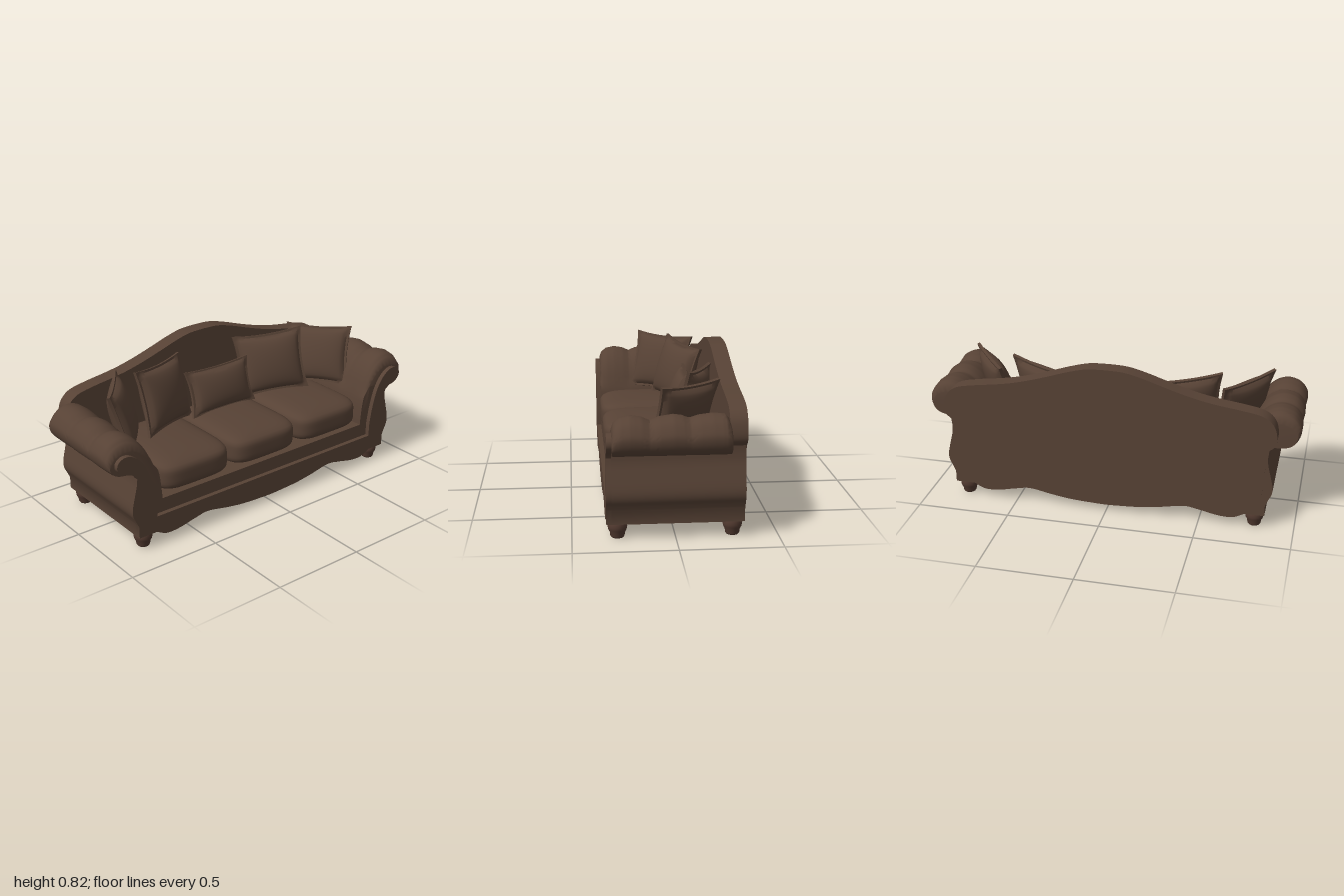
import * as THREE from 'three';
import { mergeVertices, toCreasedNormals } from 'three/addons/utils/BufferGeometryUtils.js';

const fabric = new THREE.MeshStandardMaterial({ color: 0x574235 });
fabric.name = 'brown fabric';
const wood = new THREE.MeshStandardMaterial({ color: 0x523a30 });
wood.name = 'dark wood';

const vec = (pts) => pts.map(([x, y]) => new THREE.Vector2(x, y));
const smooth = (pts, n) => new THREE.SplineCurve(vec(pts)).getPoints(n);

// Closed shape from the right half of a symmetric outline, bottom centre to top centre
function mirroredShape(half) {
  const left = half.slice(1, -1).reverse().map((p) => new THREE.Vector2(-p.x, p.y));
  return new THREE.Shape([...half, ...left]);
}

function extrude(shape, z0, z1, steps = 1) {
  const g = new THREE.ExtrudeGeometry(shape, { depth: z1 - z0, steps, bevelEnabled: false });
  return g.translate(0, 0, z0);
}

function add(parent, name, geometry, material = fabric) {
  const mesh = new THREE.Mesh(geometry, material);
  mesh.name = name;
  parent.add(mesh);
  return mesh;
}

// Move every vertex of a box by a rule on its -1..1 coordinates
function shapedBox(nx, ny, nz, rule) {
  let g = new THREE.BoxGeometry(2, 2, 2, nx, ny, nz);
  g.deleteAttribute('uv');
  g.deleteAttribute('normal');
  g = mergeVertices(g);
  const p = g.attributes.position;
  for (let i = 0; i < p.count; i++) p.setXYZ(i, ...rule(p.getX(i), p.getY(i), p.getZ(i)));
  g.computeVertexNormals();
  return g;
}

// Plump seat cushion with a softly domed top
function seatCushionGeometry(w, h, d) {
  return shapedBox(20, 10, 20, (u, v, t) => {
    const n = 5;
    const m = Math.max(Math.abs(u), Math.abs(v), Math.abs(t));
    const s = m / Math.pow(Math.abs(u) ** n + Math.abs(v) ** n + Math.abs(t) ** n, 1 / n);
    const dome = v > 0 ? 0.012 * (1 - u * u) * (1 - t * t) : 0;
    return [u * s * w / 2, v * s * h / 2 + dome, t * s * d / 2];
  });
}

// Throw pillow: puffed middle, flat flange, corners drawn outwards
function pillowGeometry(w, h, t) {
  const puff = (a) => Math.max(0, 1 - (a / (11 / 12)) ** 2);
  const g = shapedBox(24, 24, 1, (u, v, s) => [
    (w / 2) * u * (1 - 0.09 * (1 - v * v) * u * u),
    (h / 2) * v * (1 - 0.09 * (1 - u * u) * v * v),
    s * (0.008 + t * Math.pow(puff(u) * puff(v), 0.45)),
  ]);
  return toCreasedNormals(g, 0.9);
}

export function createModel() {
  const sofa = new THREE.Group();
  sofa.name = 'sofa';

  // Shared scalloped lower edge and bulging sides
  const scallop = smooth([[0, 0.036], [0.1, 0.04], [0.2, 0.047], [0.3, 0.062], [0.42, 0.084], [0.5, 0.073],
    [0.6, 0.052], [0.68, 0.05], [0.74, 0.078]], 40);
  const side = [...vec([[0.845, 0.078]]), ...smooth([[0.845, 0.14], [0.86, 0.175], [0.876, 0.21], [0.878, 0.25],
    [0.865, 0.31], [0.85, 0.37], [0.845, 0.41]], 20)];

  // Base shell with low arm walls
  const shell = mirroredShape([...scallop, ...side,
    ...vec([[0.85, 0.46], [0.75, 0.46], [0.72, 0.24], [0, 0.24]])]);
  add(sofa, 'baseShell', toCreasedNormals(extrude(shell, -0.333, 0.31), 0.5));

  // Front frame: rail joined to two scrolled arm fronts
  const scroll = smooth([[0.852, 0.425], [0.88, 0.445], [0.925, 0.458], [0.953, 0.49], [0.948, 0.525],
    [0.915, 0.546], [0.87, 0.54], [0.82, 0.5], [0.78, 0.43], [0.752, 0.33], [0.737, 0.24]], 36);
  const frame = mirroredShape([...scallop, ...side, ...scroll, ...vec([[0.735, 0.165], [0, 0.165]])]);
  add(sofa, 'frontFrame', toCreasedNormals(extrude(frame, 0.31, 0.335), 0.5));

  // Camelback panel with rounded shoulders
  const crest = smooth([[0.85, 0.46], [0.88, 0.49], [0.884, 0.54], [0.865, 0.6], [0.81, 0.645], [0.7, 0.668],
    [0.6, 0.682], [0.5, 0.7], [0.4, 0.726], [0.3, 0.757], [0.2, 0.79], [0.1, 0.815], [0, 0.82]], 56);
  const back = mirroredShape([...vec([[0, 0.12], [0.82, 0.12], [0.84, 0.44]]), ...crest]);
  add(sofa, 'backrest', toCreasedNormals(extrude(back, -0.335, -0.25), 0.5));

  // Rolled arm padding, gathered into three bulges along its length
  const armShape = new THREE.Shape([...vec([[0.82, 0.2], [0.686, 0.2]]),
    ...smooth([[0.686, 0.26], [0.7, 0.38], [0.735, 0.49], [0.78, 0.567], [0.835, 0.615], [0.895, 0.63],
      [0.955, 0.61], [0.99, 0.567], [1, 0.53], [0.987, 0.483], [0.95, 0.448], [0.9, 0.437], [0.83, 0.44]], 48)]);
  const tops = [[-0.25, 0.575], [-0.242, 0.605], [-0.22, 0.626], [-0.16, 0.63], [-0.1, 0.622], [-0.055, 0.608],
    [-0.02, 0.622], [0.02, 0.628], [0.09, 0.617], [0.13, 0.6], [0.17, 0.618], [0.22, 0.626], [0.27, 0.616],
    [0.3, 0.592], [0.31, 0.56]];
  const topAt = (z) => {
    let i = 1;
    while (i < tops.length - 1 && z > tops[i][0]) i++;
    const [a, b] = [tops[i - 1], tops[i]];
    return THREE.MathUtils.mapLinear(THREE.MathUtils.clamp(z, a[0], b[0]), a[0], b[0], a[1], b[1]);
  };
  const armGeometry = (s) => {
    const g = extrude(armShape, -0.25, 0.31, 56);
    const p = g.attributes.position;
    for (let i = 0; i < p.count; i++) {
      const k = (topAt(p.getZ(i)) - 0.44) / 0.19;
      const [x, y] = [p.getX(i), p.getY(i)];
      if (y > 0.44) p.setY(i, 0.44 + (y - 0.44) * k);
      if (y > 0.43) p.setX(i, 0.86 + (x - 0.86) * (1 - 0.4 * (1 - k)));
    }
    // Turn half round for the other arm, then restore front to back
    if (s < 0) {
      for (let i = 0; i < p.count; i += 3) {
        const c = [0, 2, 1].map((j) => [-p.getX(i + j), p.getY(i + j), p.getZ(i + j)]);
        c.forEach((q, j) => p.setXYZ(i + j, ...q));
      }
    }
    return toCreasedNormals(g, 0.8);
  };

  // Turned bun foot
  const foot = new THREE.LatheGeometry(vec([[0, 0], [0.03, 0], [0.035, 0.008], [0.037, 0.025], [0.045, 0.04],
    [0.048, 0.055], [0.046, 0.07], [0.042, 0.085], [0, 0.085]]), 24);

  const bigPillow = pillowGeometry(0.41, 0.355, 0.06);
  const cornerPillow = pillowGeometry(0.38, 0.345, 0.05);
  const placePillow = (name, g, pos, yaw, lean, roll) => {
    const m = add(sofa, name, g);
    m.position.set(...pos);
    m.rotation.set(lean, yaw, roll, 'YXZ');
  };

  for (const s of [1, -1]) {
    const label = s > 0 ? 'left' : 'right';
    add(sofa, label + 'RolledArm', armGeometry(s));
    for (const z of [0.28, -0.28]) {
      add(sofa, label + (z > 0 ? 'FrontFoot' : 'BackFoot'), foot, wood).position.set(s * 0.79, 0, z);
    }
    placePillow(label + 'BigPillow', bigPillow, [s * 0.37, 0.572, -0.115], s * -0.4, -0.27, s * 0.07);
    placePillow(label + 'CornerPillow', cornerPillow, [s * 0.67, 0.57, -0.05], s * -0.93, -0.3, s * 0.02);
  }
  placePillow('centrePillow', pillowGeometry(0.43, 0.255, 0.05), [0, 0.523, -0.105], 0, -0.3, 0);

  // Three seat cushions
  const cushion = seatCushionGeometry(0.456, 0.165, 0.57);
  for (const i of [-1, 0, 1]) {
    add(sofa, 'seatCushion', cushion).position.set(i * 0.455, 0.325, 0.035);
  }

  return sofa;
}
